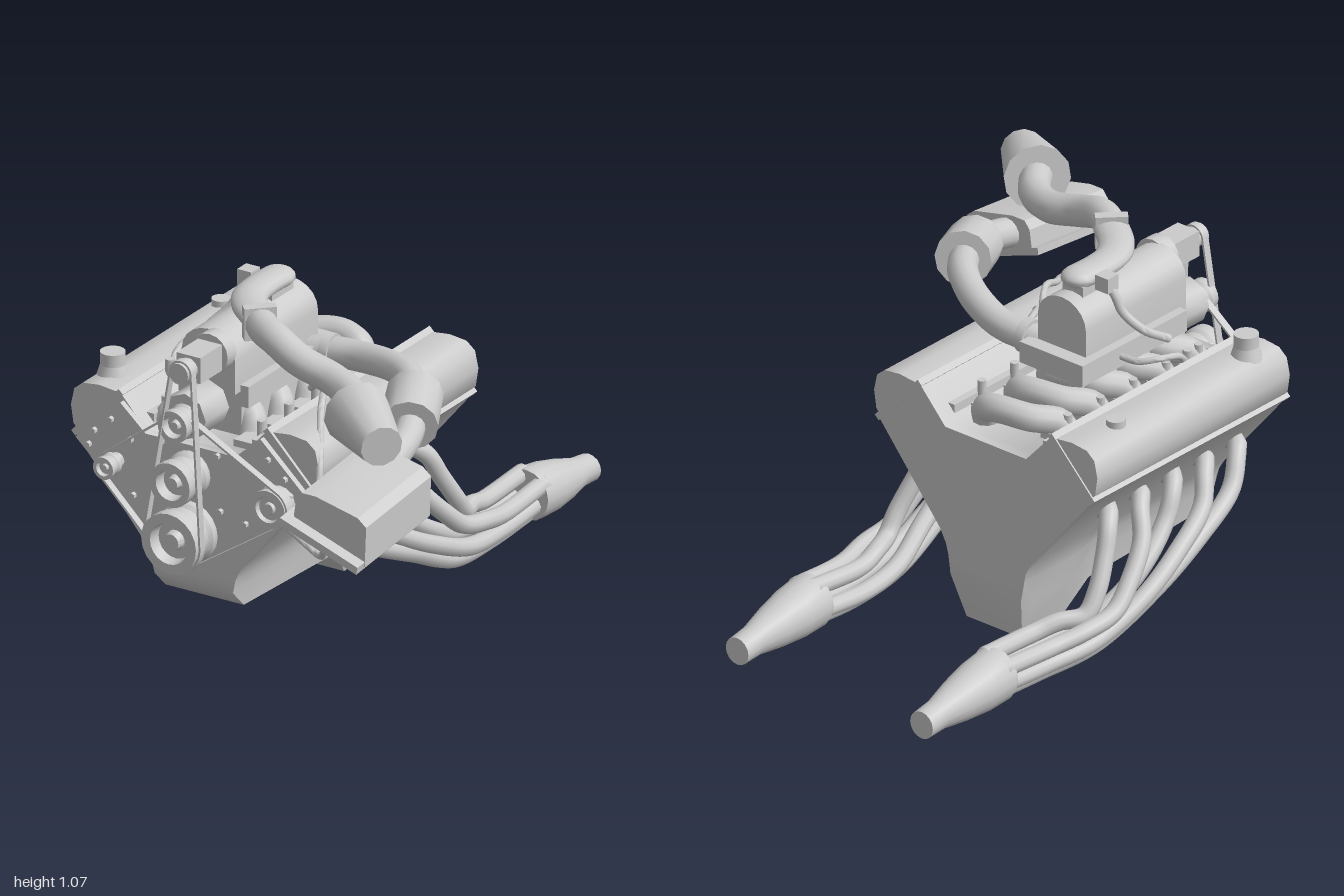
import * as THREE from 'three';
import { toCreasedNormals } from 'three/addons/utils/BufferGeometryUtils.js';

const CX = -0.2; // engine centre line
const V = (x, y, z) => new THREE.Vector3(x, y, z);
const lerp = THREE.MathUtils.lerp;
const material = new THREE.MeshStandardMaterial({ color: 0xcccccc });
const thin = new THREE.MeshStandardMaterial({ color: 0xcccccc, side: THREE.DoubleSide });

export function createModel() {
  const root = new THREE.Group();

  const add = (name, geo, mat = material, crease = 0.9) => {
    const mesh = new THREE.Mesh(toCreasedNormals(geo, crease), mat);
    mesh.name = name;
    root.add(mesh);
    return mesh;
  };
  const box = (name, w, h, d, x, y, z, turn = 0) => add(name, new THREE.BoxGeometry(w, h, d).rotateY(turn).translate(x, y, z));
  const pipe = (pts, r, seg = 32, sides = 10) =>
    new THREE.TubeGeometry(new THREE.CatmullRomCurve3(pts.map(p => V(...p))), seg, r, sides);
  const tube = (name, ...args) => add(name, pipe(...args), thin);
  // Cylinder or cone from a to b
  const rod = (name, a, b, r1, r2 = r1, sides = 16) => {
    const p = V(...a), d = V(...b).sub(p);
    const g = new THREE.CylinderGeometry(r2, r1, d.length(), sides);
    g.applyQuaternion(new THREE.Quaternion().setFromUnitVectors(V(0, 1, 0), d.clone().normalize()));
    return add(name, g.translate(p.x + d.x / 2, p.y + d.y / 2, p.z + d.z / 2));
  };
  // Outline in x, y pushed from z0 to z1
  const slab = (pts, z0, z1, steps = 1) => new THREE.ExtrudeGeometry(
    new THREE.Shape(pts.map(p => new THREE.Vector2(...p))),
    { depth: z1 - z0, steps, bevelEnabled: false }).translate(0, 0, z0);
  // Half outline (distance from centre line, y) made symmetric
  const symmetric = half => [...half.map(([d, y]) => [CX + d, y]), ...half.slice().reverse().map(([d, y]) => [CX - d, y])];

  // Block and oil pan: V outline whose lower edge follows the pan profile
  const block = slab(symmetric([[0.16, 0.64], [0.26, 0.75], [0.42, 0.58], [0.18, 0.29], [0.158, 0.22], [0.148, 0.14], [0.11, 0]]), 0, 5, 5);
  const stations = [-0.31, -0.27, -0.08, 0, 0.52, 0.58];
  const bottoms = [0.15, 0, 0.01, 0.11, 0.13, 0.19];
  const bp = block.attributes.position;
  for (let i = 0; i < bp.count; i++) {
    const k = Math.round(bp.getZ(i)), y = bp.getY(i), b = bottoms[k];
    bp.setZ(i, stations[k]);
    if (y < 0.27) {
      bp.setY(i, 0.27 + (y - 0.27) * (0.27 - b) / 0.27);
      if (y < 0.01 && b > 0.05) bp.setX(i, CX + (bp.getX(i) - CX) * 1.27);
    }
  }
  add('engineBlock', block, material, 0.85);

  // Timing cover with bolts
  add('timingCover', slab(symmetric([[0.16, 0.65], [0.25, 0.73], [0.41, 0.58], [0.1, 0.3]]), 0.57, 0.6));
  for (const s of [-1, 1]) {
    for (const [d, y] of [[0.36, 0.57], [0.34, 0.62], [0.28, 0.67], [0.21, 0.62], [0.1, 0.64], [0.11, 0.46], [0.2, 0.44]])
      rod('coverBolt', [CX + s * d, y, 0.59], [CX + s * d, y, 0.615], 0.01, 0.01, 6);
  }

  for (const s of [-1, 1]) {
    const X = d => CX + s * d;
    // Valve cover and its flange
    const dome = [[0.41, 0.585], [0.433, 0.61], [0.442, 0.67], [0.43, 0.725], [0.4, 0.75], [0.34, 0.757], [0.28, 0.75]];
    add('valveCover', slab(dome.map(([d, y]) => [X(d), y]), -0.31, 0.575));
    add('valveCoverFlange', slab([[0.42, 0.575], [0.435, 0.59], [0.265, 0.765], [0.25, 0.75]].map(([d, y]) => [X(d), y]), -0.315, 0.585));

    // Exhaust: five tubes gathered in a collector
    const D = s < 0 ? 0.34 : 0.39;
    const dx = [0, 0.03, -0.05, 0.05, -0.03], ey = [0.042, 0.075, 0.085, 0.14, 0.16];
    for (let i = 0; i < 5; i++) {
      const t = i / 4, p = 0.47 - 0.1475 * i;
      tube('exhaustHeader', [
        [X(0.26), 0.43, p + 0.005],
        [X(0.32), 0.455, p],
        [X(0.355), 0.42, p - 0.04],
        [X(0.385 + dx[i] * 0.3), 0.345, p - lerp(0.1, 0.08, t)],
        [X(0.408 + dx[i] * 0.4), lerp(0.263, 0.25, t), lerp(0.2, -0.26, t)],
        [X(0.41 + dx[i] * 0.6), lerp(0.17, 0.19, t), lerp(0, -0.31, t)],
        [X(lerp(D, 0.41, 0.5) + dx[i]), ey[i] + 0.02, lerp(-0.24, -0.38, t)],
        [X(D + dx[i]), ey[i], -0.46],
        [X(D + dx[i] * 0.9), ey[i] + 0.012, -0.68],
      ], 0.029, 48);
    }
    const cone = new THREE.LatheGeometry([[0, 0], [0.082, 0], [0.086, 0.012], [0.082, 0.1], [0.068, 0.19], [0.048, 0.28], [0.045, 0.35], [0, 0.35]]
      .map(p => new THREE.Vector2(...p)), 16).rotateX(-Math.PI / 2);
    const cp = cone.attributes.position;
    for (let i = 0; i < cp.count; i++) cp.setY(i, cp.getY(i) + cp.getZ(i) * 0.115);
    add('exhaustCollector', cone.translate(X(D), 0.115, -0.65));

    // Fuel rail with injectors
    box('fuelRail', 0.03, 0.03, 0.78, X(0.19), 0.67, 0.14);
    for (let i = 0; i < 5; i++) {
      const z = 0.47 - 0.15 * i;
      rod('injector', [X(0.17), 0.63, z], [X(0.17), 0.725, z], 0.014, 0.014, 8);
      box('runnerFlange', 0.08, 0.025, 0.09, X(0.14), 0.65, z);
    }
  }

  // Filler caps on the right cover
  rod('oilFillerNeck', [-0.56, 0.74, 0.47], [-0.56, 0.79, 0.47], 0.052, 0.036);
  rod('oilFillerCap', [-0.56, 0.785, 0.47], [-0.56, 0.825, 0.47], 0.039);
  rod('breatherCap', [-0.56, 0.74, -0.13], [-0.56, 0.775, -0.13], 0.03);

  // Intake runners arching over the valley
  for (let i = 0; i < 5; i++) {
    const z = 0.42 - 0.15 * i;
    tube('intakeRunner', [[-0.36, 0.64, z + 0.06], [-0.34, 0.685, z + 0.05], [-0.28, 0.71, z - 0.02],
      [-0.18, 0.715, z - 0.045], [-0.115, 0.69, z - 0.03], [-0.1, 0.64, z - 0.01]], 0.044, 24);
  }

  // Supercharger: base, rounded housing, snout
  box('superchargerBase', 0.25, 0.07, 0.48, CX, 0.787, 0.23);
  box('superchargerPedestal', 0.16, 0.14, 0.4, CX, 0.7, 0.24);
  const arch = [[-0.295, 0.8], [-0.105, 0.8]];
  for (let i = 0; i <= 10; i++) {
    const a = i / 10 * Math.PI;
    arch.push([CX + 0.095 * Math.cos(a), 0.91 + 0.085 * Math.sin(a)]);
  }
  add('superchargerHousing', slab(arch, 0.04, 0.5));
  rod('snoutFlange', [-0.17, 0.935, 0.49], [-0.17, 0.935, 0.54], 0.065);
  box('snout', 0.085, 0.085, 0.13, -0.168, 0.933, 0.595);
  rod('snoutPulley', [-0.168, 0.933, 0.6], [-0.168, 0.933, 0.715], 0.034);

  // Flattened throttle duct on top of the housing, rounded at the back
  const flat = g => g.translate(0, -1.03, 0).scale(1, 0.55, 1).translate(0, 1.03, 0);
  add('throttleDuct', flat(pipe([[-0.195, 1.03, 0.125], [-0.198, 1.03, 0.2], [-0.185, 1.03, 0.29], [-0.14, 1.03, 0.36], [-0.065, 1.03, 0.425]], 0.056, 24, 14)), thin);
  add('throttleDuctEnd', flat(new THREE.SphereGeometry(0.056, 16, 10).translate(-0.195, 1.03, 0.125)));
  box('throttleDuctFoot', 0.08, 0.05, 0.12, CX, 0.995, 0.15);

  // Upper intake pipe, square coupling and cone filter
  box('upperPipeCoupling', 0.1, 0.105, 0.035, -0.065, 1.022, 0.425, Math.PI / 4);
  tube('upperIntakePipe', [[-0.07, 1.022, 0.42], [-0.02, 1.02, 0.463],
    [0.04, 1.015, 0.495], [0.14, 0.98, 0.52], [0.26, 0.95, 0.525], [0.37, 0.937, 0.58], [0.46, 0.932, 0.69]], 0.05, 40, 14);
  rod('upperAirFilter', [0.435, 0.935, 0.665], [0.612, 0.915, 0.8], 0.104, 0.066, 12);

  // Lower intake pipe, coupling and boxed filter
  tube('lowerIntakePipe', [[-0.12, 0.79, 0.08], [-0.03, 0.8, 0.065], [0.06, 0.805, 0.065], [0.2, 0.825, 0.11], [0.33, 0.84, 0.2],
    [0.42, 0.82, 0.33], [0.485, 0.785, 0.47], [0.5, 0.74, 0.65]], 0.047, 48, 14);
  rod('lowerPipeClamp', [-0.06, 0.8, 0.068], [-0.03, 0.8, 0.066], 0.055);
  rod('lowerPipeCoupling', [0.385, 0.835, 0.265], [0.465, 0.805, 0.415], 0.088, 0.086, 12);
  const tilt = g => { // filter box drops toward the front
    const p = g.attributes.position;
    for (let i = 0; i < p.count; i++) p.setY(i, p.getY(i) + 0.1 * (0.8 - p.getZ(i)));
    return g;
  };
  add('filterBox', tilt(slab([[0.4, 0.7], [0.41, 0.77], [0.43, 0.795], [0.48, 0.795], [0.63, 0.76], [0.66, 0.735], [0.655, 0.605]], 0.6, 0.96)), material, 0.4);
  add('filterBoxFlange', tilt(slab([[0.378, 0.72], [0.655, 0.622], [0.65, 0.598], [0.376, 0.696]], 0.6, 1)));

  // Grooved pulleys
  const pulley = (name, x, y, r, z, depth) => {
    const profile = [[0, 0], [r, 0], [r, 0.25], [r * 0.9, 0.35], [r * 0.9, 0.6], [r, 0.7], [r, 1], [r * 0.68, 1], [r * 0.62, 0.7], [r * 0.33, 0.7], [r * 0.27, 0.9], [0, 0.9]];
    add(name, new THREE.LatheGeometry(profile.map(([a, b]) => new THREE.Vector2(a, b * depth)), 20)
      .rotateX(Math.PI / 2).translate(x, y, z), material, 0.5);
  };
  pulley('crankPulley', CX, 0.37, 0.098, 0.59, 0.13);
  pulley('waterPumpPulley', CX, 0.56, 0.072, 0.59, 0.125);
  pulley('alternatorPulley', 0.12, 0.54, 0.062, 0.62, 0.05);
  pulley('tensionerPulley', -0.46, 0.54, 0.036, 0.63, 0.05);
  pulley('idlerPulley', CX, 0.745, 0.052, 0.61, 0.09);
  rod('idlerHousing', [CX, 0.755, 0.5], [CX, 0.755, 0.63], 0.075, 0.075, 8);
  rod('alternatorMount', [0.12, 0.54, 0.56], [0.12, 0.54, 0.63], 0.055);
  rod('tensionerMount', [-0.46, 0.54, 0.56], [-0.46, 0.54, 0.64], 0.025);
  rod('smallIdler', [-0.31, 0.465, 0.59], [-0.31, 0.465, 0.64], 0.02);

  // Belts wrap the outline of their pulleys
  const belt = (name, wheels, z) => {
    const ring = extra => Array.from({ length: 72 }, (_, i) => {
      const a = i / 72 * Math.PI * 2, c = Math.cos(a), s = Math.sin(a);
      const reach = w => w[0] * c + w[1] * s + w[2];
      const w = wheels.reduce((m, n) => reach(n) > reach(m) ? n : m);
      return new THREE.Vector2(w[0] + (w[2] + extra) * c, w[1] + (w[2] + extra) * s);
    });
    const shape = new THREE.Shape(ring(0.006));
    shape.holes.push(new THREE.Path(ring(-0.001)));
    add(name, new THREE.ExtrudeGeometry(shape, { depth: 0.025, bevelEnabled: false }).translate(0, 0, z));
  };
  belt('accessoryBelt', [[CX, 0.37, 0.098], [0.12, 0.54, 0.062], [CX, 0.745, 0.03], [-0.46, 0.54, 0.036]], 0.64);
  belt('superchargerBelt', [[CX, 0.37, 0.098], [-0.168, 0.933, 0.034]], 0.68);

  // Hoses
  tube('sideHose', [[-0.04, 0.72, 0.18], [0.03, 0.79, 0.22], [0.09, 0.825, 0.3], [0.15, 0.775, 0.42], [0.22, 0.72, 0.53], [0.255, 0.62, 0.59],
    [0.268, 0.5, 0.59], [0.25, 0.4, 0.56], [0.2, 0.345, 0.5], [0.14, 0.35, 0.47], [0.06, 0.39, 0.46]], 0.011, 64, 8);
  tube('valleyHose', [[-0.02, 0.7, 0.12], [0.03, 0.77, 0.15], [0.07, 0.78, 0.24], [0.11, 0.75, 0.28]], 0.011, 24, 8);
  box('ventBracket', 0.05, 0.05, 0.05, -0.275, 1.025, 0.16);
  tube('ventHose', [[-0.27, 1.03, 0.16], [-0.3, 0.98, 0.17], [-0.32, 0.93, 0.18], [-0.37, 0.87, 0.22], [-0.4, 0.82, 0.3]], 0.014, 24, 8);
  tube('rightHose', [[-0.32, 0.785, 0.17], [-0.39, 0.79, 0.17], [-0.445, 0.8, 0.22], [-0.45, 0.78, 0.29], [-0.44, 0.73, 0.34]], 0.011, 24, 8);
  rod('hoseFitting', [-0.44, 0.66, 0.34], [-0.44, 0.78, 0.34], 0.015, 0.015, 8);

  return root;
}
